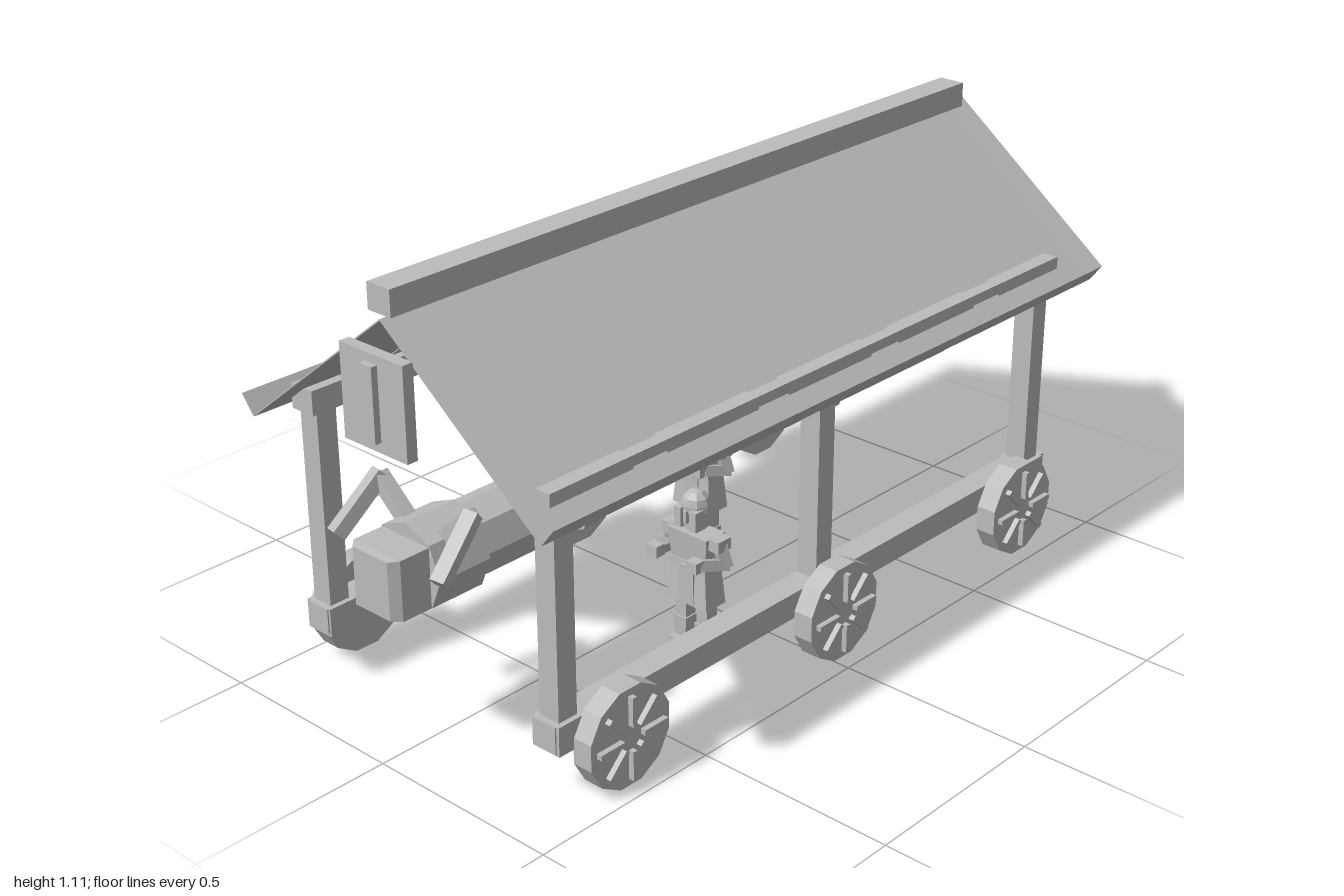
import * as THREE from 'three';

export function createModel() {
  const model = new THREE.Group();
  model.name = 'coveredBatteringRam';
  const grey = new THREE.MeshStandardMaterial({ color: 0xbcbcbc, flatShading: true });
  grey.name = 'plainGrey';

  function add(parent, name, geometry, x = 0, y = 0, z = 0) {
    const mesh = new THREE.Mesh(geometry, grey);
    mesh.name = name;
    mesh.position.set(x, y, z);
    parent.add(mesh);
    return mesh;
  }
  const box = (parent, name, w, h, d, x, y, z) => add(parent, name, new THREE.BoxGeometry(w, h, d), x, y, z);

  // Box whose top has its own width and depth
  function taper(parent, name, w, d, topW, topD, h, x, y, z) {
    const g = new THREE.BoxGeometry(w, h, d);
    const p = g.attributes.position;
    for (let i = 0; i < p.count; i++) {
      if (p.getY(i) > 0) p.setXYZ(i, p.getX(i) * topW / w, p.getY(i), p.getZ(i) * topD / d);
    }
    g.computeVertexNormals();
    return add(parent, name, g, x, y, z);
  }

  // Square bar between two points
  function bar(parent, name, a, b, w, d = w) {
    const from = new THREE.Vector3(...a), to = new THREE.Vector3(...b);
    const dir = to.clone().sub(from);
    const mesh = box(parent, name, w, dir.length(), d, 0, 0, 0);
    mesh.position.copy(from).add(to).multiplyScalar(0.5);
    mesh.quaternion.setFromUnitVectors(new THREE.Vector3(0, 1, 0), dir.normalize());
    return mesh;
  }

  // Eight-sided log piece lying along z
  function log(parent, name, r, z0, z1, r1 = r) {
    const g = new THREE.CylinderGeometry(r1, r, z1 - z0, 8).rotateX(Math.PI / 2);
    return add(parent, name, g, 0, 0.45, (z0 + z1) / 2);
  }

  // Roof: each side is an open tray with a deck, an eave board and inward gable faces
  const roof = new THREE.Group();
  roof.name = 'roof';
  model.add(roof);
  const back = -1, front = 0.935, len = front - back, mid = (front + back) / 2;
  const gable = s => new THREE.ShapeGeometry(new THREE.Shape(
    [[0, 1.03], [0.452, 0.675], [0.487, 0.72], [0, 1.095]].map(([x, y]) => new THREE.Vector2(x * s, y))));
  for (const s of [-1, 1]) {
    bar(roof, 'roofDeck', [0, 1.03, mid], [0.452 * s, 0.675, mid], 0.003, len);
    bar(roof, 'eaveBoard', [0.452 * s, 0.675, mid], [0.487 * s, 0.72, mid], 0.003, len);
    add(roof, 'backGable', gable(s), 0, 0, back);
    add(roof, 'frontGable', gable(-s), 0, 0, front).rotation.y = Math.PI;
    for (const z of [0.57, 0.174, -0.222, -0.618]) {
      bar(roof, 'roofPlank', [0.01 * s, 1.024, z], [0.451 * s, 0.677, z], 0.01, 0.1);
    }
  }
  box(roof, 'ridgeCap', 0.07, 0.062, len, 0, 1.074, mid);

  // Hanging front panel
  box(model, 'frontPanel', 0.196, 0.22, 0.028, 0, 0.856, 0.951);
  box(model, 'panelStrip', 0.038, 0.174, 0.016, 0, 0.858, 0.973);

  // Side frames
  const postZ = [0.82, -0.025, -0.868], wheelZ = [0.695, -0.03, -0.75];
  for (const s of [-1, 1]) {
    const side = new THREE.Group();
    side.name = s > 0 ? 'leftFrame' : 'rightFrame';
    model.add(side);
    box(side, 'wallPlate', 0.07, 0.06, 1.785, 0.37 * s, 0.715, -0.03);
    box(side, 'bottomRail', 0.066, 0.066, 1.785, 0.369 * s, 0.165, -0.03);
    for (const z of postZ) {
      box(side, 'post', 0.056, 0.5, 0.054, 0.37 * s, 0.45, z);
      if (z !== postZ[1]) box(side, 'postFoot', 0.08, 0.072, 0.078, 0.37 * s, 0.163, z);
    }
    // Wheels with raised spokes outside and hub rings inside
    for (const z of wheelZ) {
      const wheel = new THREE.Group();
      wheel.name = 'wheel';
      wheel.position.set(0.434 * s, 0.123, z);
      wheel.rotation.y = s > 0 ? 0 : Math.PI;
      side.add(wheel);
      const disc = r => new THREE.CylinderGeometry(r, r, 1, 12).rotateY(Math.PI / 12).rotateZ(Math.PI / 2);
      add(wheel, 'wheelDisc', disc(0.1245).scale(0.052, 1, 1));
      add(wheel, 'innerHub', disc(0.042).scale(0.012, 1, 1), -0.031);
      add(wheel, 'axle', disc(0.018).scale(0.06, 1, 1), -0.045);
      for (let i = 0; i < 8; i++) {
        const a = i * Math.PI / 4;
        const spoke = box(wheel, 'spoke', 0.018, 0.072, 0.013, 0.031, Math.cos(a) * 0.067, Math.sin(a) * 0.067);
        spoke.rotation.x = a;
      }
    }
  }

  // Ram log, straps and ropes
  const ram = new THREE.Group();
  ram.name = 'ram';
  model.add(ram);
  log(ram, 'ramLog', 0.09, -0.935, 0.8);
  for (const z of [0.41, -0.46]) {
    log(ram, 'strap', 0.096, z - 0.024, z + 0.024);
    add(ram, 'rope', new THREE.CylinderGeometry(0.007, 0.007, 0.19, 6), 0, 0.628, z);
  }

  // Ram head with horns
  log(ram, 'headCollar', 0.106, 0.755, 0.9);
  box(ram, 'headBlock', 0.148, 0.145, 0.09, 0, 0.448, 0.935);
  taper(ram, 'headFace', 0.148, 0.145, 0.11, 0.14, 0.02, 0, 0.448, 0.99).rotation.x = Math.PI / 2;
  for (const s of [-1, 1]) {
    bar(ram, 'hornBase', [0.045 * s, 0.505, 0.84], [0.15 * s, 0.598, 0.84], 0.034);
    bar(ram, 'hornTip', [0.146 * s, 0.603, 0.835], [0.165 * s, 0.49, 0.955], 0.034);
  }

  // Soldiers walking beside the ram
  function soldier(x, z) {
    const g = new THREE.Group();
    g.name = 'soldier';
    g.position.set(x, 0, z);
    model.add(g);
    for (const s of [-1, 1]) {
      box(g, 'boot', 0.046, 0.02, 0.06, 0.034 * s, 0.01, 0.006);
      taper(g, 'greave', 0.034, 0.036, 0.042, 0.042, 0.055, 0.034 * s, 0.046, 0);
      box(g, 'leg', 0.034, 0.07, 0.034, 0.034 * s, 0.1, 0);
      box(g, 'shoulder', 0.036, 0.03, 0.044, 0.072 * s, 0.298, 0);
      bar(g, 'upperArm', [0.074 * s, 0.295, 0], [0.086 * s, 0.24, -0.008], 0.028);
      bar(g, 'forearm', [0.086 * s, 0.243, -0.012], [0.066 * s, 0.262, 0.064], 0.026);
      box(g, 'hand', 0.032, 0.028, 0.028, 0.062 * s, 0.264, 0.072);
      box(g, 'cheekGuard', 0.02, 0.05, 0.03, 0.024 * s, 0.35, 0.024);
    }
    taper(g, 'skirt', 0.126, 0.068, 0.106, 0.056, 0.102, 0, 0.176, 0);
    box(g, 'skirtPanel', 0.044, 0.1, 0.006, 0, 0.176, 0.031);
    box(g, 'belt', 0.11, 0.018, 0.06, 0, 0.226, 0);
    box(g, 'buckle', 0.024, 0.018, 0.008, 0, 0.221, 0.033);
    taper(g, 'torso', 0.106, 0.052, 0.122, 0.066, 0.082, 0, 0.27, 0);
    box(g, 'neck', 0.032, 0.024, 0.03, 0, 0.317, 0);
    box(g, 'head', 0.05, 0.064, 0.05, 0, 0.352, 0);
    add(g, 'helmetBand', new THREE.CylinderGeometry(0.036, 0.036, 0.018, 8), 0, 0.372, 0);
    add(g, 'helmetDome', new THREE.SphereGeometry(0.036, 8, 3, 0, Math.PI * 2, 0, Math.PI / 2), 0, 0.38, 0);
    box(g, 'noseGuard', 0.01, 0.032, 0.012, 0, 0.356, 0.034);
  }
  soldier(0.163, 0.16);
  soldier(-0.163, -0.215);

  return model;
}
